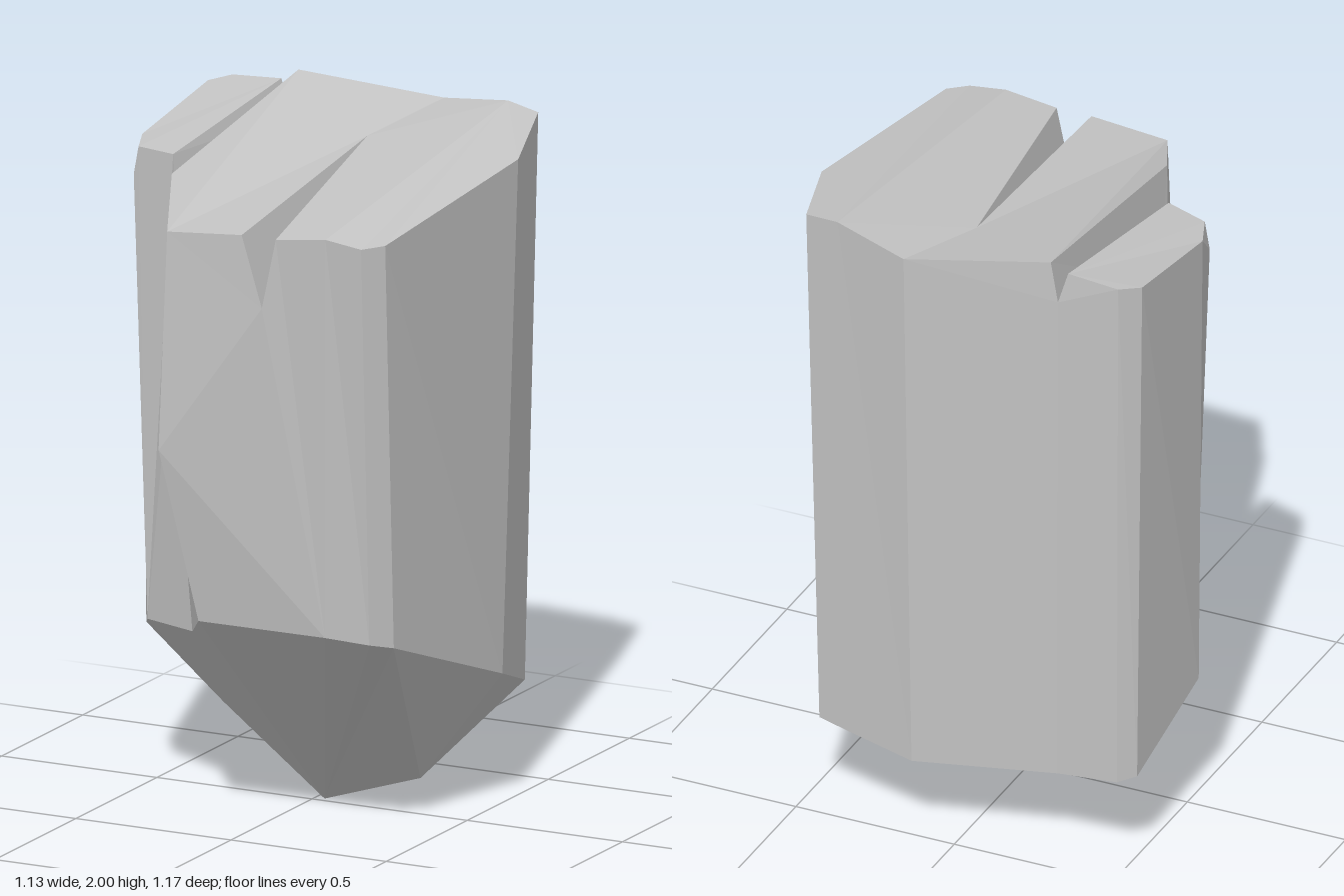
import * as THREE from 'three';

// Faceted mesh from polygons, each split as a fan from its first corner (flat normals)
function facets(name, polygons, material) {
  const pos = [];
  for (const p of polygons) {
    for (let i = 1; i < p.length - 1; i++) pos.push(...p[0], ...p[i], ...p[i + 1]);
  }
  const g = new THREE.BufferGeometry();
  g.setAttribute('position', new THREE.Float32BufferAttribute(pos, 3));
  g.computeVertexNormals();
  const mesh = new THREE.Mesh(g, material);
  mesh.name = name;
  return mesh;
}

// Quads between an upper and a lower edge with matching points
function strip(upper, lower) {
  return upper.slice(1).map((u, i) => [upper[i], lower[i], lower[i + 1], u]);
}

export function createModel() {
  const stone = new THREE.MeshStandardMaterial({ color: 0xc4c4c4 });
  stone.name = 'grey stone';

  // Rim of the main block, from front right round to the back, and the lower edge beneath it
  const rim = [
    [0.345, 1.84, 0.578], [0.46, 1.825, 0.578], [0.51, 1.83, 0.525], [0.565, 1.92, -0.19],
    [0.465, 1.97, -0.505], [0.355, 1.985, -0.53], [0.12, 1.95, -0.585],
  ];
  const [H, G, F, E, D, C, B] = rim;
  const foot = [
    [0.3, 0.635, 0.495], [0.425, 0.62, 0.46], [0.475, 0.605, 0.405], [0.53, 0.4, -0.16],
    [0.44, 0.295, -0.47], [0.35, 0.287, -0.49], [0.116, 0.268, -0.54],
  ];
  const [hl, gl, fl, el, dl, cl, bl] = foot;
  const A = [-0.305, 2, -0.5], al = [-0.3, 0.28, -0.445];

  // Side slab: rim and lower edge, from the back round to the front
  const slabRim = [
    [-0.355, 1.97, -0.49], [-0.515, 1.96, -0.495], [-0.565, 1.95, -0.44],
    [-0.565, 1.89, -0.035], [-0.52, 1.885, 0.075], [-0.385, 1.89, 0.12],
  ];
  const [s0, s1, s2, s3, s4, s5] = slabRim;
  const slabFoot = [
    [-0.49, 0.3, -0.45], [-0.535, 0.31, -0.41], [-0.555, 0.445, -0.04],
    [-0.465, 0.505, 0.125], [-0.255, 0.525, 0.25],
  ];
  const [s1l, s2l, s3l, s4l, q] = slabFoot;
  const chip = [-0.538, 1.8, 0.07];

  // Front left edge, notch and crack
  const L = [-0.165, 1.8, 0.578], lm = [-0.19, 1.15, 0.583], ll = [-0.105, 0.635, 0.5];
  const M = [-0.29, 1.89, 0.31], N = [-0.355, 1.3, 0.195];
  const notchL = [0.075, 1.82, 0.578], notchR = [0.185, 1.82, 0.578];
  const notchLow = [0.14, 1.61, 0.578], notchEnd = [0.04, 1.905, -0.265];
  const crackBack = [-0.325, 1.87, -0.495], crackFront = [-0.325, 1.58, 0.19];

  // Bottom points
  const tip = [0.03, 0, -0.02], tipRight = [0.305, 0.08, -0.085], tipLeft = [-0.28, 0.255, 0.01];

  const top = [
    [A, M, L, notchEnd, B], [notchEnd, L, notchL],
    [notchEnd, notchR, H, C, B], [C, H, G, F, E, D],
  ];
  const cuts = [
    [notchL, notchLow, notchEnd], [notchR, notchEnd, notchLow],
    [A, crackBack, crackFront, M], [s5, crackFront, crackBack, s0],
  ];

  const blockWalls = [
    ...strip(rim, foot),
    [B, bl, al, crackBack, A],
    [L, notchLow, notchL], [L, lm, notchLow], [lm, hl, notchLow],
    [hl, H, notchR, notchLow], [lm, ll, hl],
    [M, crackFront, N, lm, L], [N, q, ll, lm],
  ];
  const slabWalls = [
    [s1, s0, crackBack, al, s1l],
    ...strip([s1, s2, s3], [s1l, s2l, s3l]),
    [s3, s3l, s4l, chip], [s3, chip, s4],
    [s4l, q, N, crackFront, s5, s4, chip],
  ];

  // Pointed base: lower edges run down to the nearest bottom point
  const slabRing = [al, ...slabFoot];
  const base = [
    [tip, tipRight, fl, gl, hl, ll],
    [fl, tipRight, el], [el, tipRight, dl], [dl, tipRight, tip],
    [dl, tip, cl], [cl, tip, bl], [bl, tip, tipLeft, al], [q, tipLeft, tip, ll],
    ...slabFoot.map((p, i) => [slabRing[i], tipLeft, p]),
  ];

  const model = new THREE.Group();
  model.name = 'rock';
  model.add(
    facets('blockTop', top, stone),
    facets('slabTop', [slabRim], stone),
    facets('notchAndCrack', cuts, stone),
    facets('blockWalls', blockWalls, stone),
    facets('slabWalls', slabWalls, stone),
    facets('base', base, stone),
  );
  return model;
}
